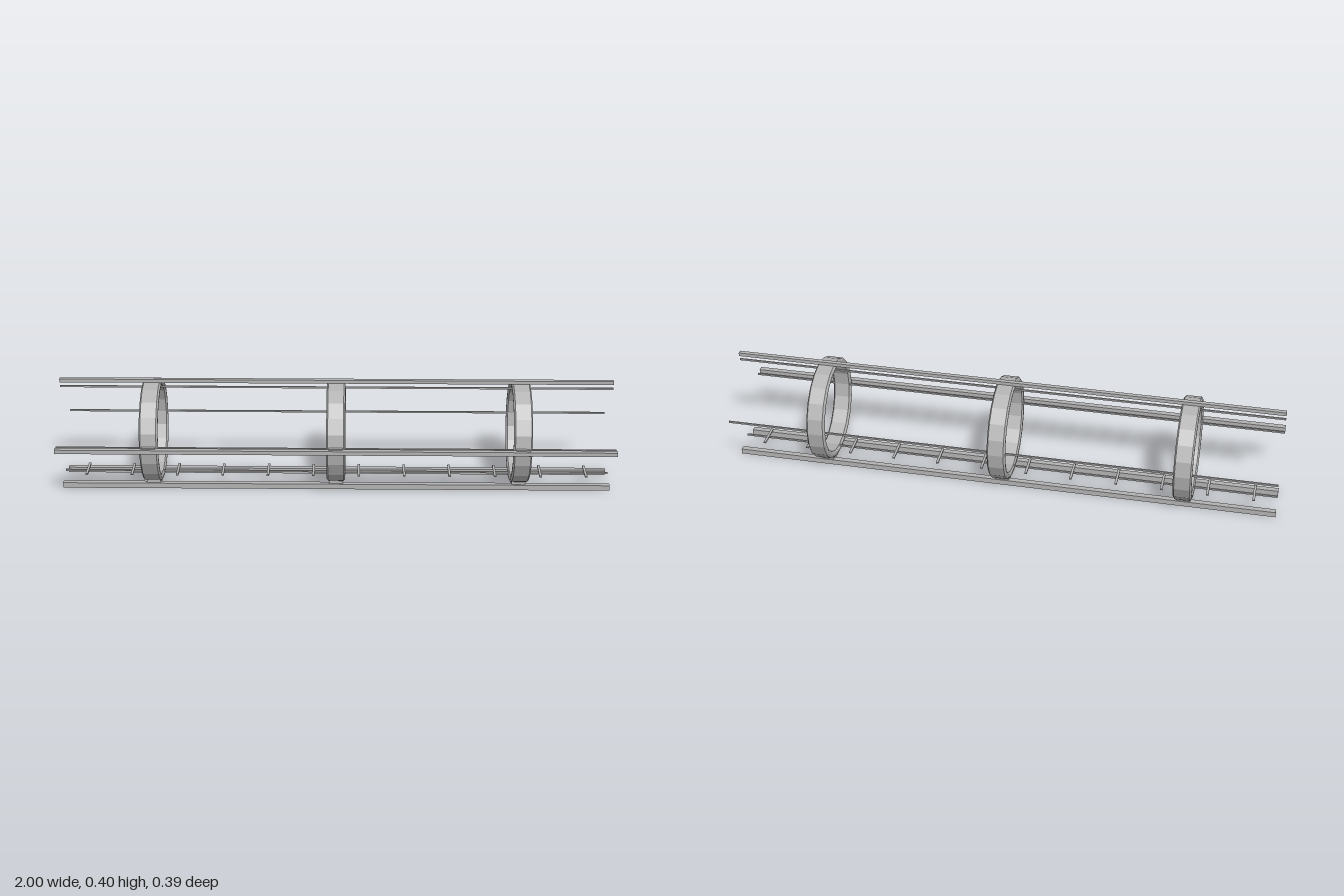
import * as THREE from 'three';

const CY = 0.204, CZ = -0.0085; // axis of the hoops
const HOOPS = [-0.667, 0, 0.667];

export function createModel() {
  const model = new THREE.Group();
  model.name = 'ringedRailFrame';
  const grey = new THREE.MeshStandardMaterial({ color: 0xb2b2b2, flatShading: true });
  grey.name = 'grey metal';

  const box = (name, w, h, d, x, y, z) => {
    const mesh = new THREE.Mesh(new THREE.BoxGeometry(w, h, d), grey);
    mesh.name = name;
    mesh.position.set(x, y, z);
    model.add(mesh);
  };

  // Twenty-sided hoops with bevelled edges, turned about the x axis
  const profile = [
    [0.164, -0.028], [0.172, -0.0335], [0.18, -0.0335], [0.188, -0.028],
    [0.188, 0.028], [0.18, 0.0335], [0.172, 0.0335], [0.164, 0.028], [0.164, -0.028],
  ].map(([r, x]) => new THREE.Vector2(r, x));
  const hoopGeometry = new THREE.LatheGeometry(profile, 20);
  hoopGeometry.rotateZ(-Math.PI / 2);

  for (const x of HOOPS) {
    const hoop = new THREE.Mesh(hoopGeometry, grey);
    hoop.name = 'hoop';
    hoop.position.set(x, CY, CZ);
    model.add(hoop);

    // Bars and pads that carry each hoop
    box('crossBar', 0.05, 0.013, 0.12, x, 0.0135, CZ);
    for (const side of [-1, 1]) {
      box('railPad', 0.05, 0.015, 0.011, x, 0.0265, CZ + side * 0.066);
    }
    box('frontPad', 0.05, 0.024, 0.012, x, CY, 0.183);
  }

  // Long outer rails: two below, one above, one in front
  for (const side of [-1, 1]) {
    box('lowerRail', 2, 0.02, 0.02, 0, 0.01, CZ + side * 0.066);
  }
  box('topRail', 2, 0.013, 0.016, 0, 0.3965, CZ);
  box('frontRail', 2, 0.015, 0.02, 0, CY, 0.188);

  // Four thin wires running through the hoops
  for (let i = 0; i < 4; i++) {
    const a = (i * Math.PI) / 2;
    box('wire', 2, 0.006, 0.006, 0, CY + 0.168 * Math.cos(a), CZ + 0.168 * Math.sin(a));
  }

  // Short ties across the bottom wire
  for (let i = 0; i < 12; i++) {
    box('tie', 0.009, 0.005, 0.094, -0.9167 + i / 6, 0.041, CZ);
  }
  return model;
}
